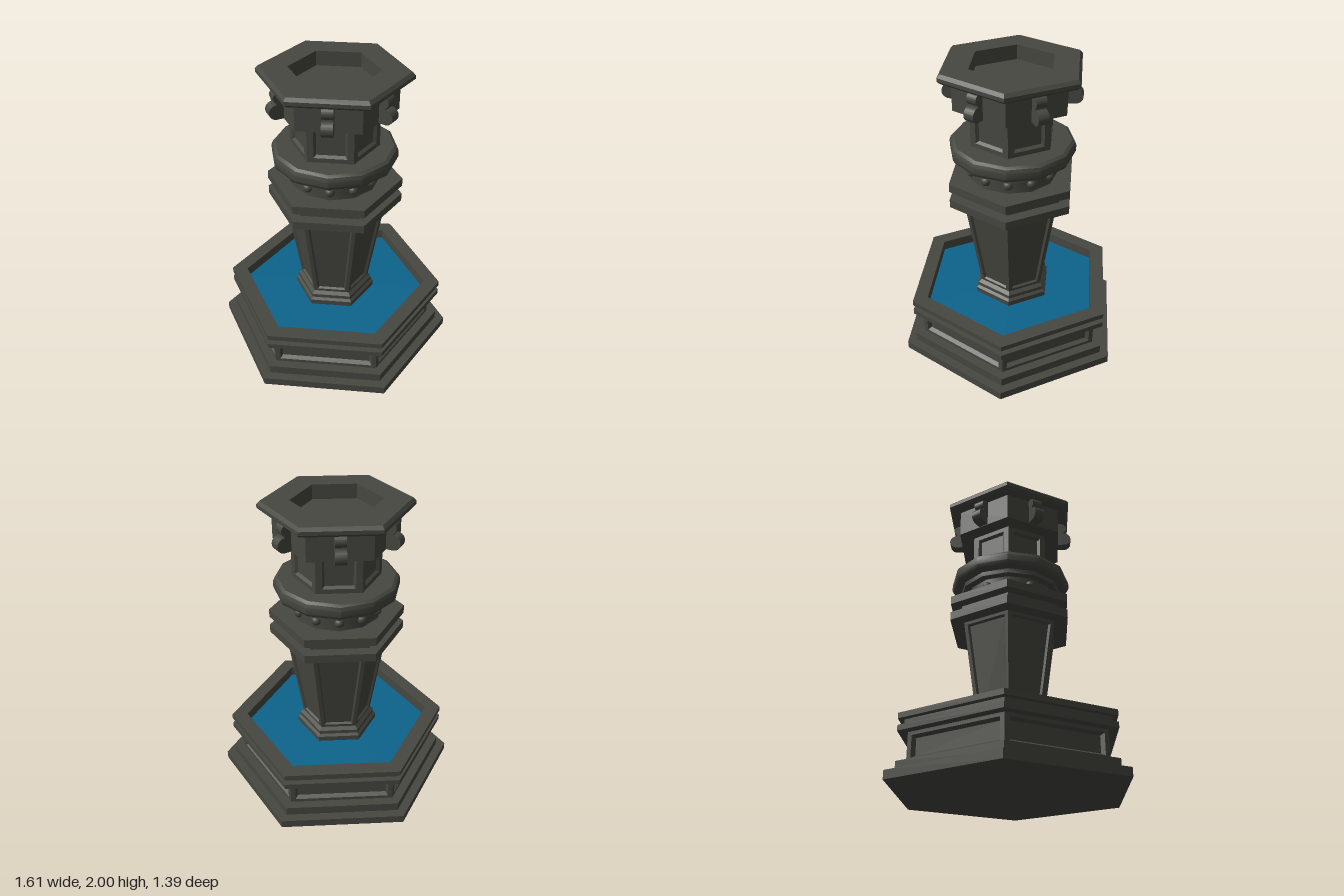
import * as THREE from 'three';
import { toCreasedNormals } from 'three/addons/utils/BufferGeometryUtils.js';

const APOTHEM = Math.sqrt(3) / 2;

export function createModel() {
  const root = new THREE.Group();
  root.name = 'hexagonalFountain';

  const stone = new THREE.MeshStandardMaterial({ color: 0x474741 });
  stone.name = 'dark stone';
  const water = new THREE.MeshStandardMaterial({ color: 0x0c638c });
  water.name = 'blue water';

  function add(name, geometry, material = stone, parent = root) {
    const mesh = new THREE.Mesh(geometry, material);
    mesh.name = name;
    parent.add(mesh);
    return mesh;
  }

  // Prism turned from a [radius, height] profile, with a corner on the x axis
  function turned(name, profile, sides = 6) {
    const points = profile.map(([r, y]) => new THREE.Vector2(r, y));
    const geometry = new THREE.LatheGeometry(points, sides, Math.PI / 2);
    return add(name, toCreasedNormals(geometry, 0.6));
  }

  function slab(name, radius, y0, y1) {
    return turned(name, [[0, y0], [radius, y0], [radius, y1], [0, y1]]);
  }

  // Repeats a geometry made for the front face on all six faces
  function onSixFaces(name, geometry) {
    const group = new THREE.Group();
    group.name = name + 's';
    for (let i = 0; i < 6; i++) {
      add(name, geometry, stone, group).rotation.y = i * Math.PI / 3;
    }
    root.add(group);
  }

  // One side of a (tapered) hexagonal block with a sunken, bevelled panel
  function panelSide({ y0, y1, r0, r1, sideMargin, endMargin, bevel, depth }) {
    const ring = (side, end, sink) => {
      const corner = (sign, y) => {
        const r = THREE.MathUtils.mapLinear(y, y0, y1, r0, r1);
        return [sign * (r / 2 - side), y, r * APOTHEM - sink];
      };
      return [corner(-1, y0 + end), corner(1, y0 + end), corner(1, y1 - end), corner(-1, y1 - end)];
    };
    const rings = [
      ring(0, 0, 0),
      ring(sideMargin, endMargin, 0),
      ring(sideMargin + bevel, endMargin + bevel, depth),
    ];
    const positions = [];
    const quad = (a, b, c, d) => positions.push(...a, ...b, ...c, ...a, ...c, ...d);
    for (let k = 0; k < 2; k++) {
      for (let i = 0; i < 4; i++) {
        const j = (i + 1) % 4;
        quad(rings[k][i], rings[k][j], rings[k + 1][j], rings[k + 1][i]);
      }
    }
    quad(...rings[2]);
    const geometry = new THREE.BufferGeometry();
    geometry.setAttribute('position', new THREE.Float32BufferAttribute(positions, 3));
    geometry.computeVertexNormals();
    return geometry;
  }

  // Stepped foot and panelled basin
  turned('foot', [[0, 0], [0.805, 0], [0.805, 0.055], [0.74, 0.055], [0.74, 0.115], [0, 0.115]]);
  onSixFaces('basinPanel', panelSide({
    y0: 0.115, y1: 0.295, r0: 0.675, r1: 0.675,
    sideMargin: 0.03, endMargin: 0.022, bevel: 0.015, depth: 0.025,
  }));
  turned('basinRim', [
    [0.6, 0.295], [0.742, 0.295], [0.742, 0.33], [0.7, 0.33], [0.7, 0.37],
    [0.742, 0.37], [0.742, 0.405], [0.635, 0.405], [0.635, 0.31],
  ]);
  const pool = new THREE.CircleGeometry(0.637, 6);
  pool.rotateX(-Math.PI / 2);
  add('water', pool, water).position.y = 0.335;

  // Tapered pillar on a small moulding
  turned('pillarMoulding', [
    [0.275, 0.32], [0.275, 0.37], [0.258, 0.385], [0.258, 0.41], [0.235, 0.43], [0, 0.43],
  ]);
  onSixFaces('pillarPanel', panelSide({
    y0: 0.43, y1: 1.09, r0: 0.235, r1: 0.34,
    sideMargin: 0.025, endMargin: 0.02, bevel: 0.01, depth: 0.014,
  }));

  // Double ledge above the pillar
  slab('lowerLedge', 0.438, 1.09, 1.145);
  slab('ledgeCore', 0.36, 1.145, 1.205);
  slab('upperLedge', 0.438, 1.205, 1.26);

  // Studded drum with collar and rounded ring
  turned('drum', [[0.29, 1.26], [0.29, 1.365], [0.34, 1.365], [0.34, 1.4]], 12);
  const studs = new THREE.Group();
  studs.name = 'studs';
  root.add(studs);
  const studGeometry = new THREE.SphereGeometry(0.032, 14, 10);
  for (let i = 0; i < 12; i++) {
    const a = i * Math.PI / 6;
    add('stud', studGeometry, stone, studs)
      .position.set(0.28 * Math.sin(a), 1.315, 0.28 * Math.cos(a));
  }
  turned('roundedRing', [
    [0.3, 1.395], [0.375, 1.395], [0.392, 1.405], [0.402, 1.425],
    [0.402, 1.465], [0.394, 1.487], [0.375, 1.5], [0, 1.5],
  ], 12);

  // Panelled neck
  onSixFaces('neckPanel', panelSide({
    y0: 1.5, y1: 1.76, r0: 0.283, r1: 0.283,
    sideMargin: 0.04, endMargin: 0.03, bevel: 0.014, depth: 0.018,
  }));

  // Capital with a scroll bracket on every face
  turned('capital', [[0, 1.76], [0.39, 1.76], [0.39, 1.94]]);
  const scroll = new THREE.Shape();
  scroll.moveTo(0.32, 1.94);
  scroll.lineTo(0.36, 1.94);
  scroll.absarc(0.362, 1.9, 0.038, Math.PI / 2, -Math.PI / 3, true);
  scroll.absarc(0.382, 1.81, 0.047, Math.PI / 2, -Math.PI / 2, true);
  scroll.lineTo(0.32, 1.763);
  const scrollGeometry = new THREE.ExtrudeGeometry(scroll, {
    depth: 0.068, bevelEnabled: false, curveSegments: 10,
  });
  scrollGeometry.translate(0, 0, -0.034);
  scrollGeometry.rotateY(-Math.PI / 2);
  onSixFaces('scrollBracket', toCreasedNormals(scrollGeometry, 0.6));

  // Bevelled top slab with a sunken bowl
  turned('topBowl', [
    [0.28, 1.94], [0.455, 1.94], [0.475, 1.957], [0.475, 1.98], [0.455, 2],
    [0.28, 2], [0.28, 1.905], [0, 1.905],
  ]);

  return root;
}
